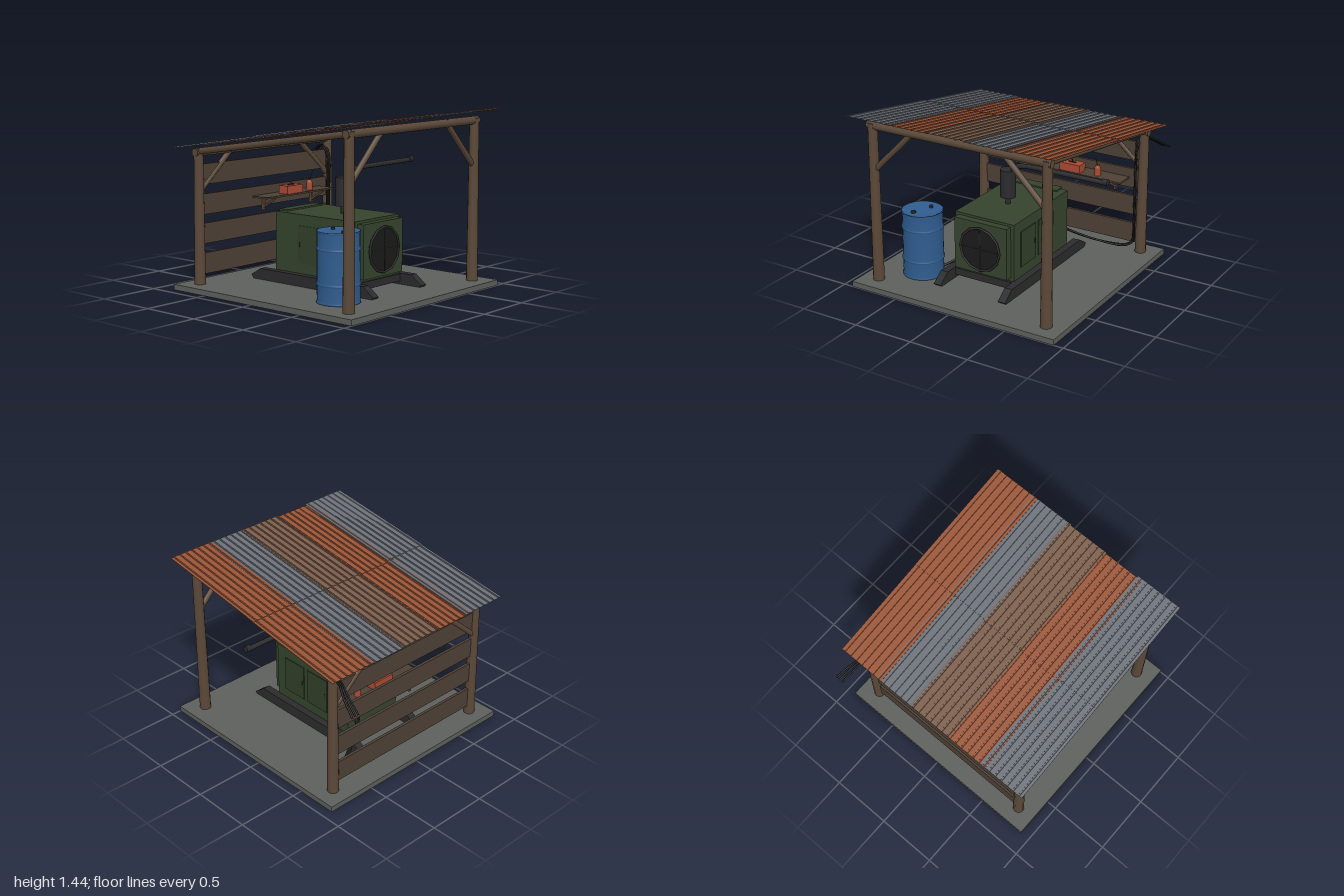
import * as THREE from 'three';

const mat = (color, extra = {}) => new THREE.MeshStandardMaterial({ color, ...extra });
const M = {
  slab: mat(0x5c5f5c), wood: mat(0x5a4838), plank: mat(0x4d4035), rust: mat(0x985436),
  steel: mat(0x6b7078), brown: mat(0x7a5c4a), green: mat(0x35442d), door: mat(0x313f29),
  dark: mat(0x2b2b2d), black: mat(0x1a1a1b), blue: mat(0x2f5c8e), red: mat(0xa84a34),
  white: mat(0xcfcfcb), button: mat(0xc02a20),
};
const V = (x, y, z) => new THREE.Vector3(x, y, z);

export function createModel() {
  const root = new THREE.Group();

  function add(name, geo, material, parent = root) {
    const mesh = new THREE.Mesh(geo, material);
    mesh.name = name;
    parent.add(mesh);
    return mesh;
  }
  // box from its min and max on each axis
  function box(name, [x0, x1], [y0, y1], [z0, z1], material, parent) {
    const m = add(name, new THREE.BoxGeometry(x1 - x0, y1 - y0, z1 - z0), material, parent);
    m.position.set((x0 + x1) / 2, (y0 + y1) / 2, (z0 + z1) / 2);
    return m;
  }
  // round bar between two points
  function rod(name, a, b, r0, r1, material, parent, sides = 12) {
    const m = add(name, new THREE.CylinderGeometry(r1, r0, a.distanceTo(b), sides), material, parent);
    m.position.copy(a).add(b).multiplyScalar(0.5);
    m.quaternion.setFromUnitVectors(V(0, 1, 0), b.clone().sub(a).normalize());
    return m;
  }
  function tube(name, pts, r, material, parent, seg = 48) {
    return add(name, new THREE.TubeGeometry(new THREE.CatmullRomCurve3(pts), seg, r, 8), material, parent);
  }
  function group(name) {
    const g = new THREE.Group();
    g.name = name;
    root.add(g);
    return g;
  }

  box('floorSlab', [-0.92, 0.92], [0, 0.045], [-0.845, 1], M.slab);

  // Timber frame
  const frame = group('timberFrame');
  const FZ = 0.85, BZ = -0.7;
  for (const s of [-1, 1]) {
    rod('frontPost', V(s * 0.77, 0.045, FZ), V(s * 0.77, 1.36, FZ), 0.046, 0.038, M.wood, frame);
    rod('backPost', V(s * 0.77, 0.045, BZ), V(s * 0.77, 1.13, BZ), 0.046, 0.038, M.wood, frame);
    rod('frontBrace', V(s * 0.76, 0.98, FZ), V(s * 0.42, 1.32, FZ), 0.023, 0.023, M.wood, frame);
    rod('backBrace', V(s * 0.76, 0.79, BZ), V(s * 0.42, 1.09, BZ), 0.023, 0.023, M.wood, frame);
  }
  rod('frontBeam', V(-0.81, 1.34, FZ), V(0.81, 1.34, FZ), 0.033, 0.033, M.wood, frame);
  rod('backBeam', V(-0.81, 1.1, BZ), V(0.81, 1.1, BZ), 0.033, 0.033, M.wood, frame);
  for (const x of [-0.77, -0.39, 0, 0.39, 0.77]) {
    rod('rafter', V(x, 1.345, FZ + 0.02), V(x, 1.105, BZ - 0.02), 0.026, 0.026, M.wood, frame);
  }

  // Back wall planks
  for (const [y0, y1] of [[0.12, 0.29], [0.365, 0.53], [0.6, 0.765], [0.84, 1.005]]) {
    box('wallPlank', [-0.76, 0.76], [y0, y1], [BZ - 0.012, BZ + 0.012], M.plank, frame);
  }

  // Ribbed roof sheets, two rows of five, overlapping
  const roof = group('roof');
  const W = 0.405, T = 0.004, RIBS = 7;
  const top = [[-W / 2, 0]];
  for (let i = 0; i < RIBS; i++) {
    const c = ((i + 0.5) / RIBS - 0.5) * W;
    top.push([c - 0.007, 0], [c - 0.005, 0.007], [c + 0.005, 0.007], [c + 0.007, 0]);
  }
  top.push([W / 2, 0]);
  const profile = [...top.map(([x, y]) => [x, y - T]), ...top.reverse()];
  const sheetShape = new THREE.Shape(profile.map(([x, y]) => new THREE.Vector2(x, y)));
  const slope = Math.atan2(1.425 - 1.135, 1.845);
  const sheetMats = [M.steel, M.rust, M.brown, M.steel, M.rust];
  [-0.705, -0.37, 0, 0.36, 0.7].forEach((x, i) => {
    const shift = [0, -0.012, -0.006, 0.003, 0][i];
    const lift = i % 2 ? 0 : 0.005;
    for (const [z0, z1, up] of [[-0.845, 0.1, 0], [0.01, 0.995, 0.006]]) {
      const zs = z0 < -0.5 ? z0 : z0 + shift;
      const len = (z1 + (z1 > 0.5 ? shift : 0) - zs) / Math.cos(slope);
      const geo = new THREE.ExtrudeGeometry(sheetShape, { depth: len, bevelEnabled: false });
      const m = add('roofSheet', geo, sheetMats[i], roof);
      m.position.set(x, 1.135 + (zs + 0.845) * Math.tan(slope) + lift + up - 0.003, zs);
      m.rotation.x = -slope;
    }
  });

  // Generator housing
  const gen = group('generator');
  box('housing', [-0.27, 0.27], [0.13, 0.61], [-0.34, 0.49], M.green, gen);
  box('radiatorFrame', [-0.24, 0.24], [0.16, 0.59], [0.49, 0.55], M.green, gen);
  box('controlCabinet', [-0.21, 0.21], [0.46, 0.622], [-0.357, -0.265], M.green, gen);
  box('controlPanel', [-0.17, 0.17], [0.33, 0.56], [-0.364, -0.335], M.door, gen);
  for (const s of [-1, 1]) {
    for (const [z0, z1] of [[0.17, 0.395], [-0.1, 0.13]]) {
      box('sideDoor', [s * 0.273 - 0.004, s * 0.273 + 0.004], [0.22, 0.52], [z0, z1], M.door, gen);
      box('doorHandle', [s * 0.278 - 0.003, s * 0.278 + 0.003], [0.35, 0.39], [z0 + 0.015, z0 + 0.025], M.dark, gen);
    }
  }
  // Cooling fan grille on the front
  const fan = rod('fanDisc', V(0, 0.37, 0.54), V(0, 0.37, 0.562), 0.18, 0.18, M.black, gen);
  fan.material = mat(0x1a1a1b, { flatShading: true });
  add('fanRing', new THREE.TorusGeometry(0.18, 0.01, 6, 12), M.dark, gen).position.set(0, 0.37, 0.562);
  fan.rotateY(Math.PI / 12);
  box('grilleBar', [-0.178, 0.178], [0.368, 0.372], [0.56, 0.567], M.dark, gen);
  box('grilleBar', [-0.002, 0.002], [0.192, 0.548], [0.56, 0.567], M.dark, gen);
  // Gauges and stop button on the back
  for (const x of [-0.1, 0, 0.1]) {
    rod('gauge', V(x, 0.51, -0.36), V(x, 0.51, -0.37), 0.025, 0.025, M.dark, gen);
  }
  rod('stopButton', V(0.1, 0.435, -0.36), V(0.1, 0.435, -0.378), 0.016, 0.016, M.button, gen);

  // Skids and cross members
  const skid = new THREE.Shape([[0.72, 0.06], [0.62, 0.135], [-0.46, 0.135], [-0.56, 0.075], [-0.535, 0.045], [0.705, 0.045]]
    .map(([z, y]) => new THREE.Vector2(-z, y)));
  for (const x of [-0.33, 0.265]) {
    const m = add('skid', new THREE.ExtrudeGeometry(skid, { depth: 0.065, bevelEnabled: false }), M.dark, gen);
    m.rotation.y = Math.PI / 2;
    m.position.x = x;
  }
  for (const z of [-0.3, 0.1, 0.48]) {
    box('crossMember', [-0.27, 0.27], [0.07, 0.13], [z - 0.03, z + 0.03], M.dark, gen);
  }

  // Exhaust
  const ex = group('exhaust');
  const EZ = 0.14;
  rod('exhaustStub', V(0, 0.6, EZ), V(0, 0.68, EZ), 0.02, 0.02, M.dark, ex);
  rod('muffler', V(0, 0.67, EZ), V(0, 0.9, EZ), 0.063, 0.063, M.dark, ex, 20);
  tube('tailPipe', [V(0.04, 0.87, EZ), V(0.045, 0.905, EZ), V(0.08, 0.94, EZ), V(0.17, 0.957, EZ),
    V(0.4, 0.962, EZ), V(0.87, 0.965, EZ)], 0.02, M.dark, ex);
  rod('tailPipeCollar', V(0.84, 0.97, EZ), V(0.885, 0.97, EZ), 0.025, 0.025, M.dark, ex);

  // Fuel filters and hose
  for (const z of [0.28, 0.36]) {
    rod('fuelFilter', V(-0.288, 0.31, z), V(-0.288, 0.43, z), 0.022, 0.022, M.white, gen);
    rod('filterCap', V(-0.288, 0.43, z), V(-0.288, 0.44, z), 0.014, 0.014, M.dark, gen);
  }
  tube('fuelHose', [V(-0.28, 0.32, 0.32), V(-0.285, 0.26, 0.33), V(-0.33, 0.15, 0.38), V(-0.4, 0.1, 0.48)], 0.01, M.black, gen);

  // Fuel drum
  const drum = group('fuelDrum');
  drum.position.set(-0.54, 0.045, 0.555);
  const rim = [[0, 0.002], [0.162, 0.002], [0.168, 0], [0.168, 0.012], [0.163, 0.016]];
  for (const y of [0.145, 0.41]) rim.push([0.163, y - 0.012], [0.17, y - 0.004], [0.17, y + 0.004], [0.163, y + 0.012]);
  rim.push([0.163, 0.53], [0.168, 0.534], [0.168, 0.545], [0.161, 0.545], [0.159, 0.537], [0, 0.537]);
  add('drumBody', new THREE.LatheGeometry(rim.map(([x, y]) => new THREE.Vector2(x, y)), 28), M.blue, drum);
  rod('drumBung', V(-0.03, 0.535, 0.08), V(-0.03, 0.552, 0.08), 0.02, 0.02, M.dark, drum);
  rod('drumBung', V(0.03, 0.535, -0.08), V(0.03, 0.555, -0.08), 0.015, 0.015, M.dark, drum);

  // Shelf with toolbox and oil can
  const shelf = group('shelf');
  box('shelfBoard', [-0.18, 0.65], [0.676, 0.69], [-0.69, -0.525], M.plank, shelf);
  for (const x of [-0.06, 0.53]) {
    box('bracketUpright', [x - 0.01, x + 0.01], [0.56, 0.676], [-0.69, -0.665], M.wood, shelf);
    rod('bracketBrace', V(x, 0.672, -0.54), V(x, 0.585, -0.68), 0.01, 0.01, M.wood, shelf, 6);
  }
  box('toolbox', [0.08, 0.27], [0.69, 0.757], [-0.635, -0.535], M.red, shelf);
  box('toolboxHandle', [0.14, 0.21], [0.757, 0.765], [-0.59, -0.58], M.dark, shelf);
  rod('toolboxLatch', V(0.175, 0.757, -0.585), V(0.175, 0.782, -0.585), 0.005, 0.005, M.dark, shelf, 6);
  rod('oilCan', V(0.41, 0.69, -0.588), V(0.41, 0.755, -0.588), 0.028, 0.026, M.red, shelf);
  rod('oilCanTop', V(0.41, 0.755, -0.588), V(0.41, 0.777, -0.588), 0.026, 0.016, M.red, shelf);
  rod('oilCanSpout', V(0.41, 0.77, -0.588), V(0.41, 0.853, -0.552), 0.004, 0.002, M.dark, shelf, 6);

  // Power cables: along the floor, up the post and out the back
  for (const i of [-1, 0, 1]) {
    const d = i * 0.014;
    tube('powerCable', [V(0.15 + d, 0.31, -0.33), V(0.24 + d, 0.23, -0.41), V(0.45 + d, 0.14, -0.53),
      V(0.66, 0.1 + Math.abs(d) / 2, -0.63 + d), V(0.715 + d / 2, 0.14, -0.652 + d / 2), V(0.725 + d / 2, 0.3, -0.652 + d / 2),
      V(0.725 + d / 2, 0.65, -0.652 + d / 2), V(0.727 + d / 2, 0.94, -0.652 + d / 2), V(0.728 + d, 1.02, -0.69),
      V(0.755 + d, 1.03, -0.77), V(0.79 + i * 0.022, 0.98, -0.86), V(0.827 + i * 0.031, 0.895, -0.998)], 0.008, M.black, root, 80);
  }
  box('cableClamp', [0.715, 0.74], [0.5, 0.52], [-0.67, -0.642], M.dark);
  box('cableClamp', [0.715, 0.74], [0.85, 0.87], [-0.67, -0.642], M.dark);

  return root;
}
